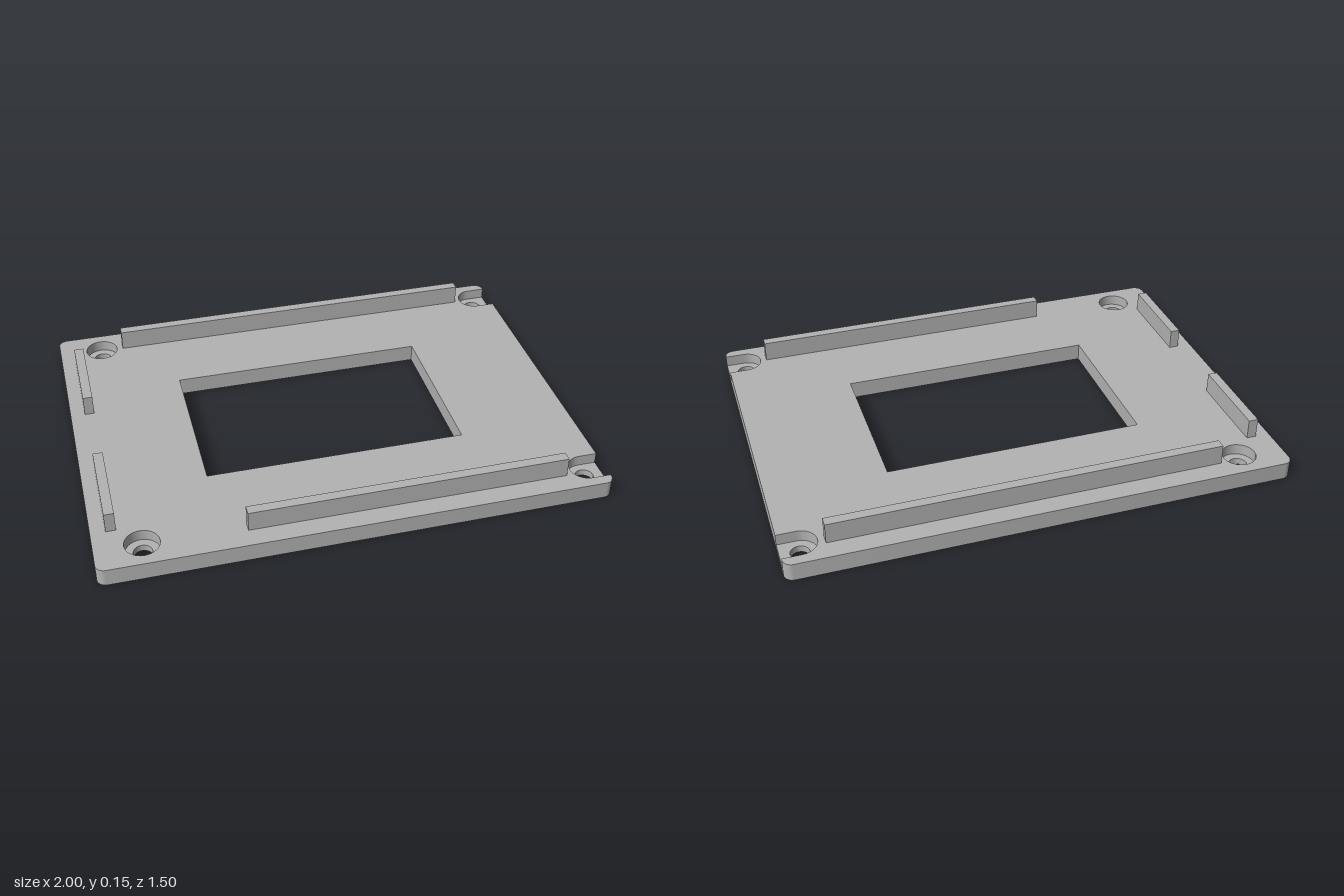
import * as THREE from 'three';
import { toCreasedNormals } from 'three/addons/utils/BufferGeometryUtils.js';

const HALF_X = 1, HALF_Z = 0.752, CORNER = 0.036;
const FLOOR = 0.027, TOP = 0.072, RIDGE_TOP = 0.154;
const HOLE_R = 0.036, POCKET_R = 0.067;
const HOLE_Z = 0.642, LEFT_HOLE = 0.925, RIGHT_HOLE = -0.82;

// Rounded plate outline, optionally with two pockets open to the +x edge
function outline(notched) {
  const s = new THREE.Shape();
  const x = HALF_X - CORNER, y = HALF_Z - CORNER;
  s.moveTo(-x, -HALF_Z);
  s.absarc(x, -y, CORNER, -Math.PI / 2, 0, false);
  if (notched) {
    for (const c of [-HOLE_Z, HOLE_Z]) {
      s.lineTo(HALF_X, c - POCKET_R);
      s.lineTo(LEFT_HOLE, c - POCKET_R);
      s.absarc(LEFT_HOLE, c, POCKET_R, -Math.PI / 2, -Math.PI * 1.5, true);
      s.lineTo(HALF_X, c + POCKET_R);
    }
  }
  s.absarc(x, y, CORNER, 0, Math.PI / 2, false);
  s.absarc(-x, y, CORNER, Math.PI / 2, Math.PI, false);
  s.absarc(-x, -y, CORNER, Math.PI, Math.PI * 1.5, false);

  // Central window
  const w = 0.523, h = 0.329;
  s.holes.push(new THREE.Path([[-w, -h], [-w, h], [w, h], [w, -h]].map(p => new THREE.Vector2(...p))));
  return s;
}

function addRoundHole(shape, x, y, r) {
  shape.holes.push(new THREE.Path().absarc(x, y, r, 0, Math.PI * 2, true));
}

// Extrude a plan shape upward between two heights
function layer(shape, y0, y1) {
  const g = new THREE.ExtrudeGeometry(shape, { depth: y1 - y0, bevelEnabled: false, curveSegments: 16 });
  g.rotateX(-Math.PI / 2);
  g.translate(0, y0, 0);
  return toCreasedNormals(g, 0.6);
}

export function createModel() {
  const model = new THREE.Group();
  model.name = 'mountingPlate';
  const grey = new THREE.MeshStandardMaterial({ color: 0xb3b3b3 });
  grey.name = 'grey';

  const add = (name, geometry) => {
    const mesh = new THREE.Mesh(geometry, grey);
    mesh.name = name;
    model.add(mesh);
  };

  // Thin floor with screw holes, upper layer with wider pockets
  const lower = outline(false), upper = outline(true);
  for (const z of [-HOLE_Z, HOLE_Z]) {
    addRoundHole(lower, LEFT_HOLE, z, HOLE_R);
    addRoundHole(lower, RIGHT_HOLE, z, HOLE_R);
    addRoundHole(upper, RIGHT_HOLE, z, POCKET_R);
  }
  add('plateFloor', layer(lower, 0, FLOOR));
  add('plateTop', layer(upper, FLOOR, TOP));

  // Upright locating ridges: x0, x1, z0, z1
  const ridges = {
    backRidge: [-0.728, 0.833, -0.672, -0.632],
    frontRidge: [-0.43, 0.833, 0.632, 0.672],
    rightBackRidge: [-0.942, -0.903, -0.55, -0.185],
    rightFrontRidge: [-0.942, -0.903, 0.185, 0.55],
  };
  for (const [name, [x0, x1, z0, z1]] of Object.entries(ridges)) {
    const g = new THREE.BoxGeometry(x1 - x0, RIDGE_TOP - TOP, z1 - z0);
    g.translate((x0 + x1) / 2, (TOP + RIDGE_TOP) / 2, (z0 + z1) / 2);
    add(name, g);
  }
  return model;
}
